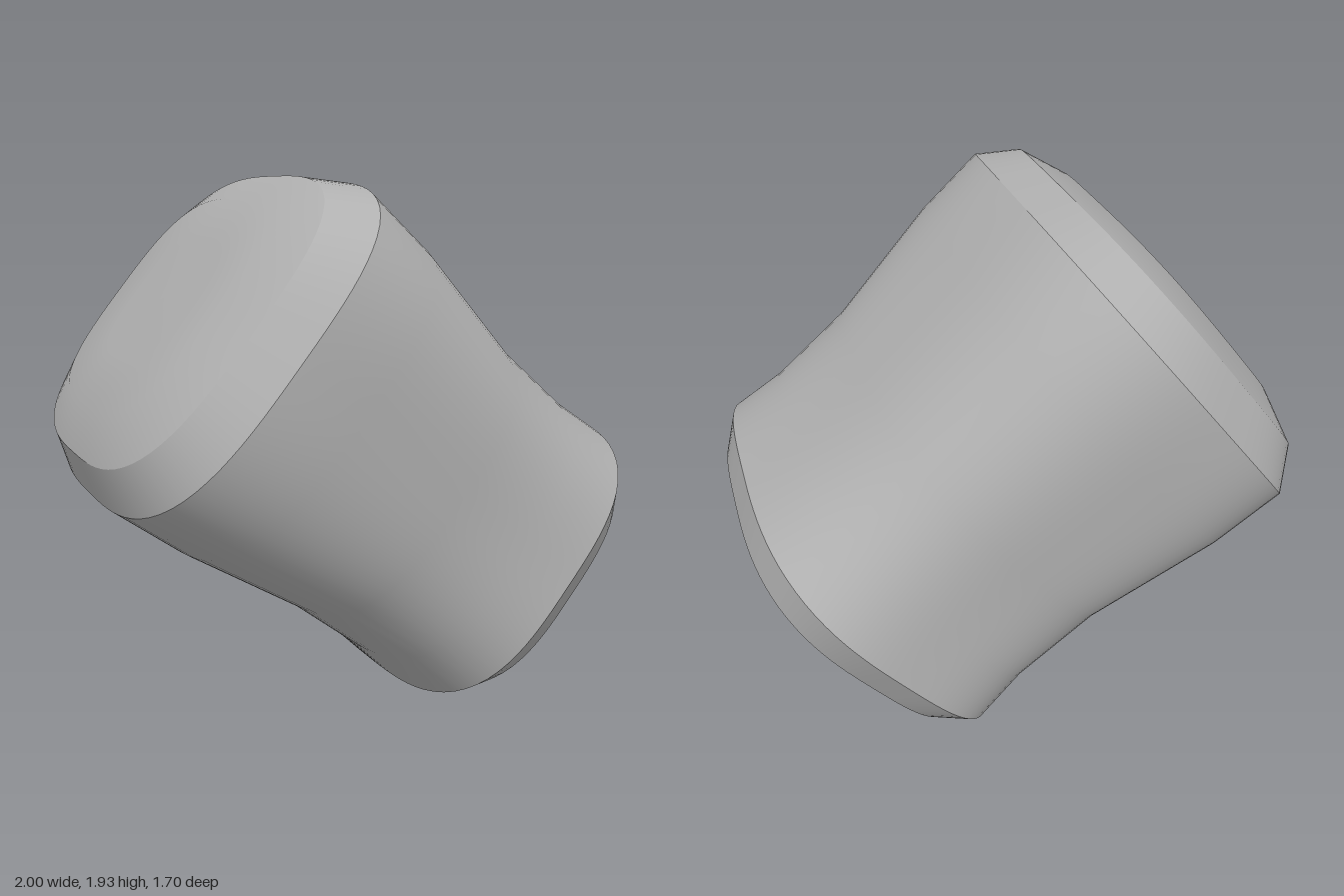
import * as THREE from 'three';

const SEGMENTS = 96;
const DEPTH = 1.223; // z radius relative to x radius
const POWER = 3.1; // squareness of the cross-section

// Smooth strip through rounded-square rings, listed top to bottom as [height, half width]
function loft(name, rings, material) {
  const positions = [];
  const indices = [];
  rings.forEach(([height, half], i) => {
    for (let j = 0; j < SEGMENTS; j++) {
      const angle = (j / SEGMENTS) * Math.PI * 2;
      const c = Math.cos(angle);
      const s = Math.sin(angle);
      const r = half * Math.pow(Math.abs(c) ** POWER + Math.abs(s) ** POWER, -1 / POWER);
      positions.push(r * c, height, r * s * DEPTH);
      if (i === rings.length - 1) continue;
      const a = i * SEGMENTS + j;
      const b = i * SEGMENTS + ((j + 1) % SEGMENTS);
      indices.push(a, b, a + SEGMENTS, b, b + SEGMENTS, a + SEGMENTS);
    }
  });
  const geometry = new THREE.BufferGeometry();
  geometry.setAttribute('position', new THREE.Float32BufferAttribute(positions, 3));
  geometry.setIndex(indices);
  geometry.computeVertexNormals();
  const mesh = new THREE.Mesh(geometry, material);
  mesh.name = name;
  return mesh;
}

export function createModel() {
  const grey = new THREE.MeshStandardMaterial({ color: 0xb0b0b0 });
  grey.name = 'grey';

  // Waisted block tilted sideways
  const block = new THREE.Group();
  block.name = 'tiltedBlock';
  block.position.set(0.0235, 0.944, 0);
  block.rotation.z = 0.888;

  block.add(
    loft('upperCap', [[0.9, 0], [0.898, 0.25], [0.893, 0.45], [0.827, 0.607]], grey),
    loft('upperBevel', [[0.827, 0.607], [0.6875, 0.695]], grey),
    loft('body', [[0.6875, 0.695], [0.398, 0.682], [-0.118, 0.616], [-0.467, 0.61], [-0.6875, 0.631]], grey),
    loft('lowerBevel', [[-0.6875, 0.631], [-0.807, 0.553]], grey),
    loft('lowerCap', [[-0.807, 0.553], [-0.862, 0.406], [-0.867, 0.22], [-0.869, 0]], grey),
  );

  const model = new THREE.Group();
  model.name = 'model';
  model.add(block);
  return model;
}
